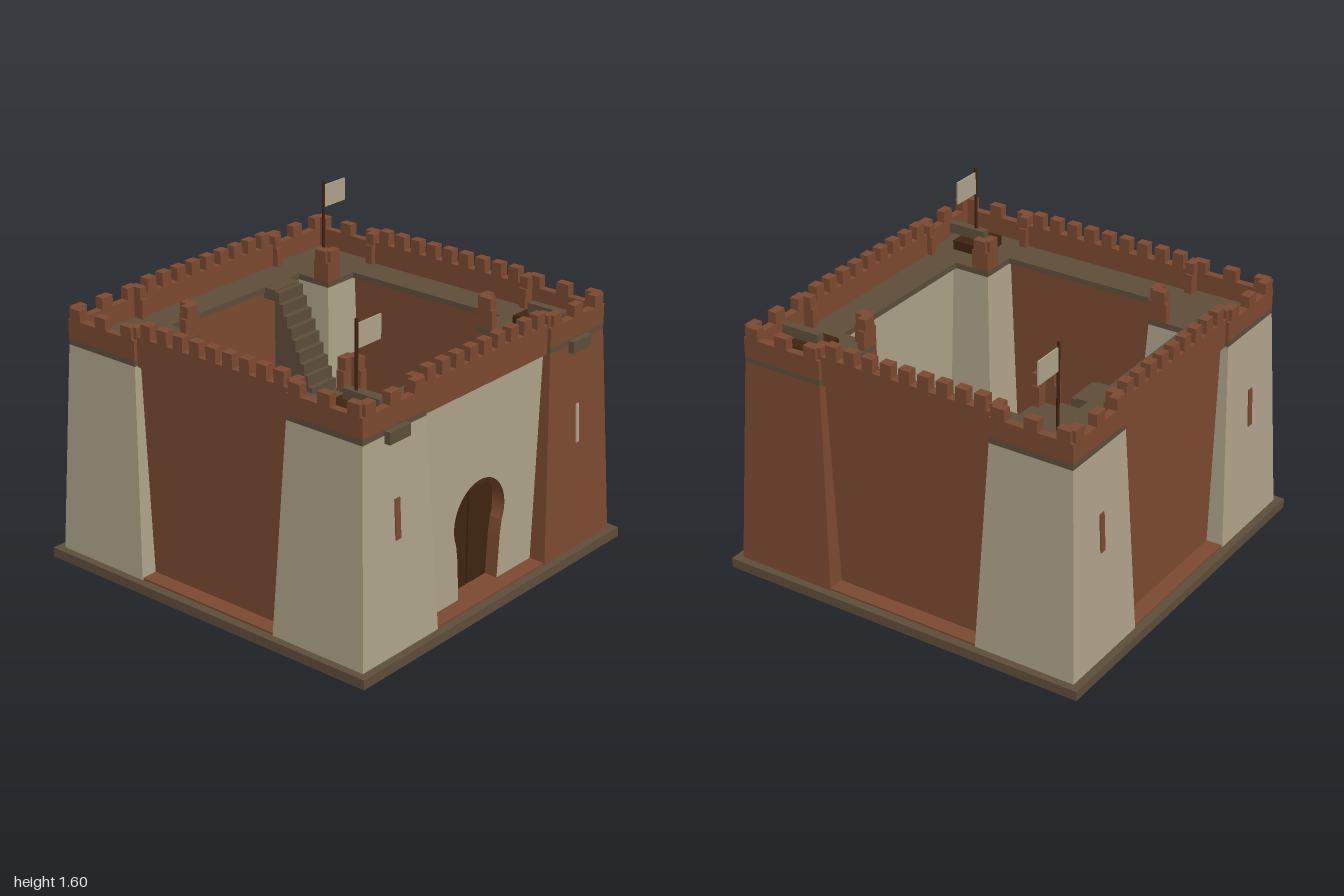
import * as THREE from 'three';

const mat = (name, color) => {
  const m = new THREE.MeshStandardMaterial({ color });
  m.name = name;
  return m;
};

export function createModel() {
  const clay = mat('red clay', 0x7c4a31);
  const plaster = mat('pale plaster', 0xaea38a);
  const stone = mat('dark stone', 0x5e4e3b);
  const wood = mat('dark wood', 0x3e2410);

  const model = new THREE.Group();
  model.name = 'fort';

  const group = (name, parent = model) => {
    const g = new THREE.Group();
    g.name = name;
    parent.add(g);
    return g;
  };
  const add = (name, geometry, material, parent) => {
    const m = new THREE.Mesh(geometry, material);
    m.name = name;
    parent.add(m);
    return m;
  };
  // box given by its limits on each axis
  const box = (name, material, [x0, x1], [y0, y1], [z0, z1], parent = model) => {
    const m = add(name, new THREE.BoxGeometry(x1 - x0, y1 - y0, z1 - z0), material, parent);
    m.position.set((x0 + x1) / 2, (y0 + y1) / 2, (z0 + z1) / 2);
    return m;
  };

  // ground
  box('basePlate', stone, [-1, 1], [0, 0.05], [-1, 1]);
  box('courtyardFloor', clay, [-0.955, 0.955], [0.05, 0.06], [-0.955, 0.955]);

  // front wall with a horseshoe gateway cut up from its foot
  const gateWall = () => {
    const s = new THREE.Shape();
    s.moveTo(-0.47, 0.055);
    s.lineTo(-0.15, 0.055);
    s.lineTo(-0.165, 0.28);
    s.absarc(0, 0.44, 0.195, Math.PI + 0.43, -0.43, true);
    s.lineTo(0.165, 0.28);
    s.lineTo(0.15, 0.055);
    s.lineTo(0.47, 0.055);
    s.lineTo(0.47, 1.13);
    s.lineTo(-0.47, 1.13);
    s.closePath();
    const g = new THREE.ExtrudeGeometry(s, { depth: 0.19, bevelEnabled: false, curveSegments: 28 });
    return g.translate(0, 0, 0.68);
  };

  // four walls with walkway, parapet and merlons
  ['front', 'right', 'back', 'left'].forEach((side, i) => {
    const wall = group(side + 'Wall');
    wall.rotation.y = (i * Math.PI) / 2;
    if (i === 0) add('gateWall', gateWall(), [plaster, clay], wall);
    else box('wallBody', clay, [-0.47, 0.47], [0.055, 1.13], [0.68, 0.87], wall);
    box('walkway', stone, [-0.47, 0.47], [1.13, 1.16], [0.665, 0.88], wall);
    box('parapet', clay, [-0.468, 0.468], [1.125, 1.275], [0.842, 0.892], wall);
    for (let k = -4; k <= 4; k++) {
      const x = k * 0.103;
      box('merlon', clay, [x - 0.03, x + 0.03], [1.275, 1.345], [0.842, 0.892], wall);
    }
  });

  // gate leaves
  for (const s of [-1, 1]) {
    const xs = s < 0 ? [-0.19, -0.005] : [0.005, 0.19];
    box('gateLeaf', wood, xs, [0.06, 0.55], [0.77, 0.8]);
  }

  // square tapering tower body
  const towerGeometry = new THREE.CylinderGeometry(0.22 * Math.SQRT2, 0.27 * Math.SQRT2, 1.08, 4)
    .rotateY(Math.PI / 4).translate(0, 0.59, 0).toNonIndexed();
  towerGeometry.computeVertexNormals();

  for (const sx of [-1, 1]) for (const sz of [-1, 1]) {
    const red = sx > 0 && sz > 0;
    const tower = group((sz > 0 ? 'front' : 'back') + (sx > 0 ? 'Left' : 'Right') + 'Tower');
    tower.position.set(sx * 0.69, 0, sz * 0.69);
    add('towerBody', towerGeometry, red ? clay : plaster, tower);
    box('towerDeck', stone, [-0.22, 0.22], [1.13, 1.16], [-0.22, 0.22], tower);

    // parapet: full on the two outer sides, short end pieces beside the walkways
    for (let i = 0; i < 4; i++) {
      const side = group('towerParapet', tower);
      side.rotation.y = (i * Math.PI) / 2;
      const nx = Math.round(Math.sin(side.rotation.y));
      const nz = Math.round(Math.cos(side.rotation.y));
      const outer = nx * sx + nz * sz > 0;
      if (outer) box('parapet', clay, [-0.22, 0.22], [1.16, 1.26], [0.18, 0.22], side);
      else for (const e of [-1, 1]) {
        const xs = e < 0 ? [-0.22, -0.125] : [0.125, 0.22];
        box('parapetEnd', clay, xs, [1.16, 1.26], [0.18, 0.22], side);
      }
      for (const x of outer ? [-0.17, 0, 0.17] : [-0.17, 0.17]) {
        box('merlon', clay, [x - 0.035, x + 0.035], [1.26, 1.32], [0.177, 0.223], side);
      }
    }

    // arrow slit lying on the sloping outer face
    const w = red ? 0.011 : 0.018;
    const slit = box('arrowSlit', red ? plaster : clay, [-w, w], [0.61, 0.81], [-0.004, 0.004], tower);
    slit.position.z = sz * 0.241;
    slit.rotation.x = -sz * Math.atan(0.05 / 1.08);

    // front towers: corbel box and cannon
    if (sz > 0) {
      box('corbelBox', stone, [-0.072, 0.072], [1.093, 1.153], [0.2, 0.253], tower);
      box('cannonCarriage', wood, [-0.093, 0.093], [1.16, 1.21], [-0.095, 0.08], tower);
      box('cannonBarrel', stone, [-0.022, 0.022], [1.21, 1.263], [-0.06, 0.15], tower);
    }

    // flags on two opposite towers
    if (sx !== sz) {
      const pole = add('flagPole', new THREE.CylinderGeometry(0.008, 0.008, 0.44, 8), wood, tower);
      pole.position.y = 1.38;
      box('flag', plaster, [0.006, 0.165], [1.457, 1.575], [-0.004, 0.004], tower);
    }
  }

  // courtyard stair rising to the back walkway
  const stair = group('stair');
  const steps = 19;
  for (let i = 0; i < steps; i++) {
    const z = -0.08 - i * 0.0274;
    const top = 0.06 + ((i + 1) * 1.09) / steps;
    box('step', stone, [0.21, 0.395], [0.06, top], [z - 0.0274, z], stair);
  }
  box('stairLanding', stone, [0.21, 0.395], [1.1, 1.158], [-0.675, -0.6], stair);

  // wooden shelter and crates
  const shelter = group('shelter');
  box('shelterRoof', wood, [-0.5, -0.23], [0.36, 0.4], [-0.53, 0.18], shelter);
  for (const x of [-0.47, -0.26]) for (const z of [-0.38, 0.15]) {
    box('shelterPost', wood, [x - 0.015, x + 0.015], [0.06, 0.36], [z - 0.015, z + 0.015], shelter);
  }
  for (const x of [-0.21, 0.2]) {
    box('crate', wood, [x - 0.06, x + 0.06], [0.06, 0.18], [-0.275, -0.155]);
  }

  return model;
}
